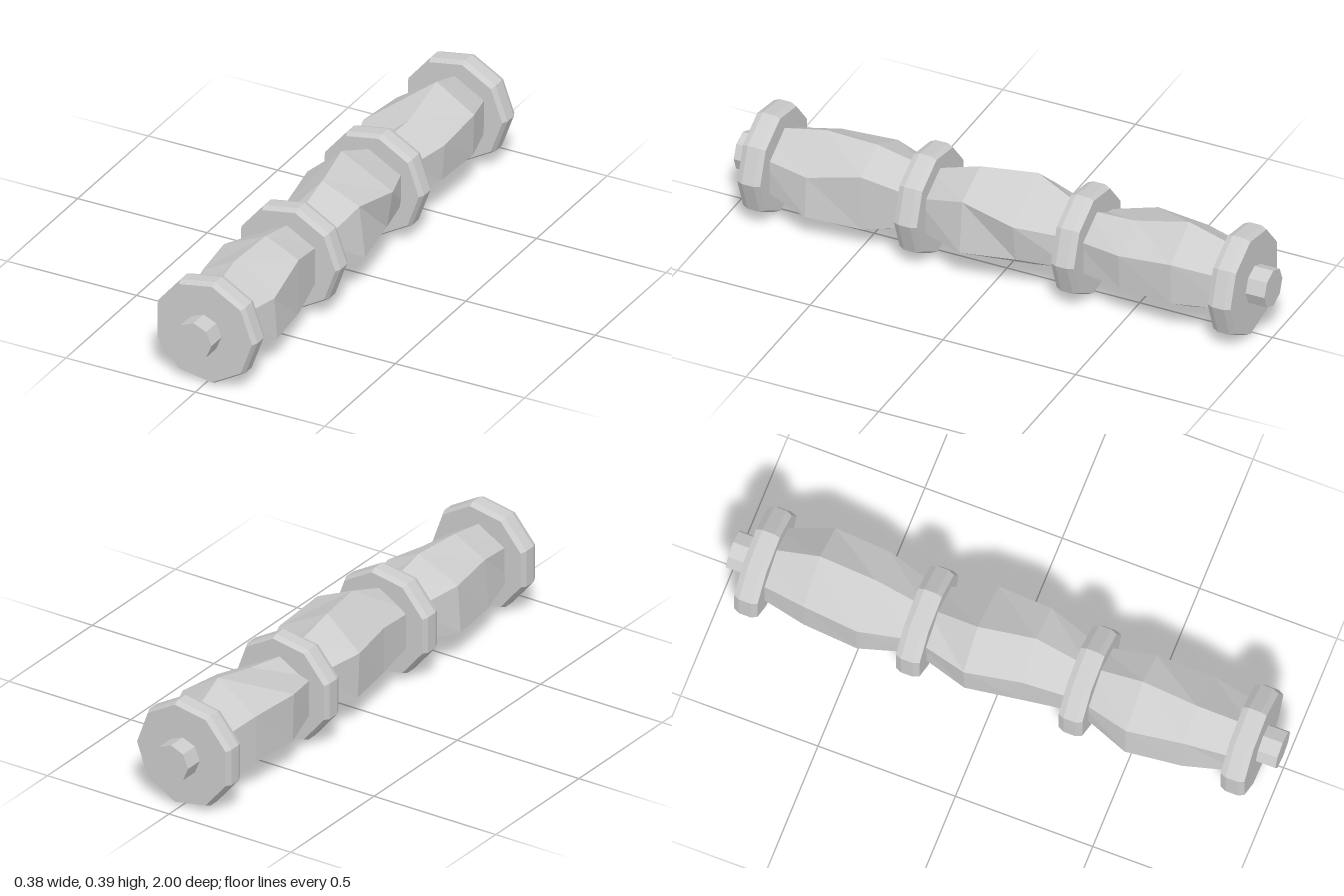
import * as THREE from 'three';

const CX = -0.0075, CY = 0.197; // axis of the shaft

// Closed flat-shaded solid skinned over equal-sized loops of [x, y, z], ordered back to front
function skin(loops) {
  const n = loops[0].length, pos = [];
  const tri = (a, b, c) => pos.push(...a, ...b, ...c);
  for (let s = 0; s < loops.length - 1; s++) {
    for (let i = 0; i < n; i++) {
      const j = (i + 1) % n, a = loops[s], b = loops[s + 1];
      tri(a[i], a[j], b[j]);
      tri(a[i], b[j], b[i]);
    }
  }
  const first = loops[0], last = loops[loops.length - 1];
  for (let i = 1; i < n - 1; i++) {
    tri(first[0], first[i + 1], first[i]);
    tri(last[0], last[i], last[i + 1]);
  }
  const g = new THREE.BufferGeometry();
  g.setAttribute('position', new THREE.Float32BufferAttribute(pos, 3));
  g.computeVertexNormals();
  return g;
}

// Regular polygon loop around the axis
function polygon(sides, r, z, start = 0) {
  return Array.from({ length: sides }, (_, i) => {
    const a = start + (i / sides) * Math.PI * 2;
    return [CX + r * Math.cos(a), CY + r * Math.sin(a), z];
  });
}

export function createModel() {
  const model = new THREE.Group();
  const grey = new THREE.MeshStandardMaterial({ color: 0xcccccc });
  grey.name = 'light grey';
  const add = (name, loops) => {
    const mesh = new THREE.Mesh(skin(loops), grey);
    mesh.name = name;
    model.add(mesh);
  };

  // Octagonal pin running through the whole length
  add('shaft', [polygon(8, 0.07, -1), polygon(8, 0.07, 1)]);

  // Four nine-sided collars with bevelled rims
  [-0.886, -0.296, 0.296, 0.886].forEach((z, i) => {
    const profile = [[-0.043, 0.188], [-0.022, 0.1975], [0.022, 0.1975], [0.043, 0.188]];
    add('collar' + (i + 1), profile.map(([dz, r]) => polygon(9, r, z + dz)));
  });

  // Rough six-sided bodies: two irregular sections each, [x, y] from lower right, anticlockwise
  const bodies = [
    { z: -0.591, back: [[0.15, 0.14], [0.155, 0.297], [0.01, 0.388], [-0.145, 0.285], [-0.145, 0.11], [-0.01, 0.035]],
      front: [[0.14, 0.14], [0.15, 0.275], [0.015, 0.34], [-0.165, 0.29], [-0.16, 0.11], [-0.01, 0.045]] },
    { z: 0, back: [[0.14, 0.145], [0.163, 0.288], [-0.035, 0.394], [-0.167, 0.28], [-0.16, 0.11], [-0.01, 0.04]],
      front: [[0.165, 0.132], [0.143, 0.322], [0, 0.385], [-0.13, 0.28], [-0.13, 0.11], [-0.005, 0.03]] },
    { z: 0.591, back: [[0.12, 0.09], [0.122, 0.3], [-0.005, 0.36], [-0.167, 0.285], [-0.178, 0.11], [-0.01, 0.05]],
      front: [[0.148, 0.1], [0.137, 0.252], [-0.018, 0.355], [-0.14, 0.29], [-0.155, 0.11], [-0.01, 0.018]] },
  ];
  bodies.forEach(({ z, back, front }, i) => {
    const place = (loop, dz) => loop.map(([x, y]) => [x, y, z + dz]);
    add('body' + (i + 1), [
      polygon(6, 0.12, z - 0.295, -Math.PI / 6),
      place(back, -0.1),
      place(front, 0.1),
      polygon(6, 0.12, z + 0.295, -Math.PI / 6),
    ]);
  });

  return model;
}
